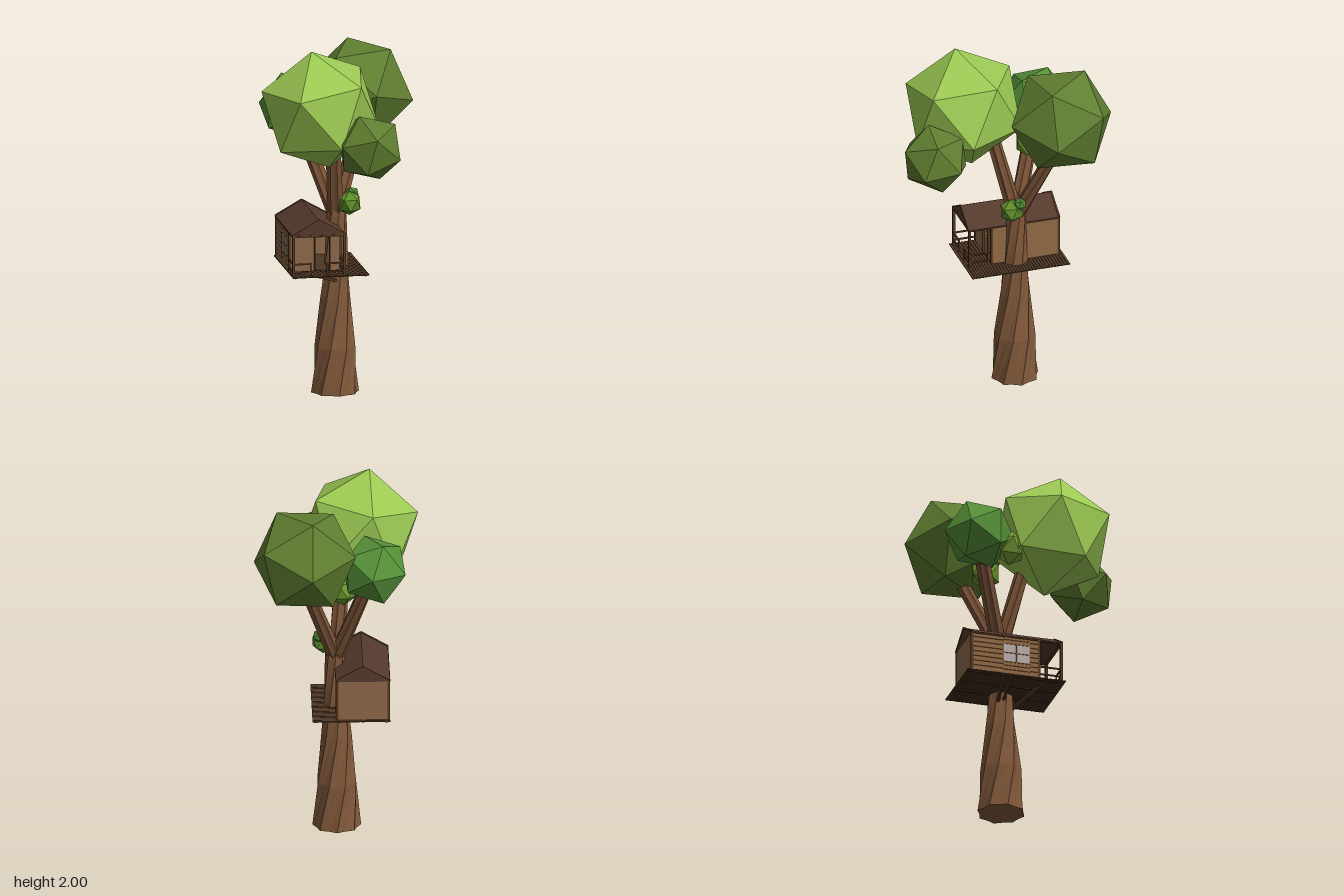
import * as THREE from 'three';

const mat = (color) => new THREE.MeshStandardMaterial({ color, flatShading: true, roughness: 1 });
const BARK = mat(0x80583a), BRANCH = mat(0x7a5237), WALL = mat(0x87633f), PANEL = mat(0x8c6848);
const POST = mat(0x5a3c26), ROOF = mat(0x553a2d), DECK = mat(0x4f3825), PANE = mat(0xb9aeaa);
const V = (x, y, z) => new THREE.Vector3(x, y, z);

function add(parent, name, geometry, material) {
  const mesh = new THREE.Mesh(geometry, material);
  mesh.name = name;
  parent.add(mesh);
  return mesh;
}

function box(parent, name, material, w, h, d, x, y, z) {
  const mesh = add(parent, name, new THREE.BoxGeometry(w, h, d), material);
  mesh.position.set(x, y, z);
  return mesh;
}

// Square beam between two points
function beam(parent, name, material, a, b, w) {
  const mesh = add(parent, name, new THREE.BoxGeometry(w, a.distanceTo(b), w), material);
  mesh.position.copy(a).lerp(b, 0.5);
  mesh.quaternion.setFromUnitVectors(V(0, 1, 0), b.clone().sub(a).normalize());
  return mesh;
}

// Twisted, ridged limb through rings of [x, y, z, radius]
function limb(parent, name, material, rings, sides, twist, ridge) {
  const last = rings.length - 1;
  const geo = new THREE.CylinderGeometry(1, 1, 1, sides, last);
  const p = geo.attributes.position;
  for (let i = 0; i < p.count; i++) {
    const row = Math.round((p.getY(i) + 0.5) * last);
    const [cx, cy, cz, r] = rings[row];
    const angle = Math.atan2(p.getX(i), p.getZ(i));
    const odd = Math.abs(Math.round(angle / (2 * Math.PI / sides))) % 2;
    const rad = Math.hypot(p.getX(i), p.getZ(i)) * r * (odd ? 1 - ridge : 1);
    const turned = angle + row * twist;
    p.setXYZ(i, cx + Math.sin(turned) * rad, cy, cz + Math.cos(turned) * rad);
  }
  return add(parent, name, geo, material);
}

// Icosahedral leaf clump, turned so two adjacent corners point along a and b
function clump(parent, name, color, center, radius, a, b) {
  const mesh = add(parent, name, new THREE.IcosahedronGeometry(radius, 0), mat(color));
  const u = V(...a).normalize(), v = V(...b).normalize();
  const x = v.clone().sub(u).normalize();
  const y = u.clone().add(v).normalize();
  mesh.quaternion.setFromRotationMatrix(
    new THREE.Matrix4().makeBasis(x, y, x.clone().cross(y).normalize()));
  mesh.position.set(...center);
  return mesh;
}

function buildTree(root) {
  const tree = new THREE.Group();
  tree.name = 'tree';
  root.add(tree);

  limb(tree, 'trunk', BARK, [
    [-0.07, 0, -0.012, 0.135], [-0.07, 0.26, -0.012, 0.115], [-0.07, 0.53, -0.014, 0.085],
    [-0.066, 0.8, -0.02, 0.064], [-0.066, 1.0, -0.022, 0.056], [-0.066, 1.12, -0.025, 0.05],
  ], 16, 0.4, 0.12);

  const tips = [
    [-0.31, 1.5, -0.01], // side
    [-0.01, 1.5, 0.1],   // front
    [-0.08, 1.5, -0.28], // back
  ];
  for (const [x, y, z] of tips) {
    const rings = [0, 0.5, 1].map((t) => [
      -0.07 + (x + 0.07) * t, 1.0 + (y - 1.0) * t, -0.02 + (z + 0.02) * t, 0.047 - 0.006 * t]);
    limb(tree, 'branch', BRANCH, rings, 14, 0.1, 0.18);
  }

  clump(tree, 'largeFrontFoliage', 0x9cc953, [0.018, 1.663, 0.262], 0.343, [-0.018, 0.337, 0.06], [0.082, 0.102, 0.313]);
  clump(tree, 'largeBackFoliage', 0x607f31, [-0.0925, 1.66, -0.29], 0.304, [-0.137, 0.26, -0.08], [-0.012, 0.21, 0.215]);
  clump(tree, 'rightFoliage', 0x569138, [-0.345, 1.587, 0], 0.198, [-0.095, 0.173, -0.03], [-0.19, 0.003, 0.052]);
  clump(tree, 'leftFoliage', 0x5f7d30, [0.35, 1.49, 0.265], 0.196, [0.185, -0.06, -0.03], [0.12, 0.145, -0.08]);
  clump(tree, 'innerFoliage', 0x6a962c, [-0.16, 1.435, -0.06], 0.09, [0.2, 1, 0.1], [0.9, 0.3, 0.4]);
  clump(tree, 'innerFoliage', 0x7fa63a, [-0.22, 1.53, 0.13], 0.1, [-0.1, 1, 0.2], [-0.8, 0.3, 0.6]);
  clump(tree, 'trunkSprout', 0x5f902b, [0.01, 1.075, -0.035], 0.07, [0.1, 1, 0.1], [0.9, 0.4, 0.2]);
  clump(tree, 'trunkSprout', 0x4c8a30, [0, 1.12, -0.08], 0.038, [-0.2, 1, 0.3], [0.7, 0.4, 0.5]);
}

// Clapboard wall along x at a given depth; side = +1 or -1 faces outward
function clapboards(parent, name, x0, x1, y0, y1, z, side, count) {
  const h = (y1 - y0) / count;
  for (let i = 0; i < count; i++) {
    const board = box(parent, name, WALL, x1 - x0, h * 1.02, 0.006, (x0 + x1) / 2, y0 + (i + 0.5) * h, z);
    board.rotation.x = -side * 0.16;
  }
}

function buildHouse(root) {
  const house = new THREE.Group();
  house.name = 'treeHouse';
  house.position.set(-0.165, 0, 0.09);
  house.rotation.y = -Math.PI / 4;
  root.add(house);

  const F = 0.722, T = 0.95, X = 0.258, P = 0.13, Z = 0.143, MID = (F + T) / 2, H = T - F;

  // Deck of narrow planks on joists
  const planks = 34, pitch = 0.57 / planks;
  for (let i = 0; i < planks; i++) {
    box(house, 'deckPlank', DECK, pitch * 0.86, 0.005, 0.43, -0.285 + (i + 0.5) * pitch, 0.719, -0.064);
  }
  for (const z of [-0.26, -0.13, 0, 0.13]) box(house, 'joist', DECK, 0.56, 0.004, 0.014, 0, 0.7145, z);
  box(house, 'houseFloor', DECK, X + P, 0.003, 2 * Z, (P - X) / 2, 0.7225, 0);

  // Long walls, one with a window opening
  const wx = 0.076, wy0 = 0.795, wy1 = 0.905;
  clapboards(house, 'sideWallBoard', -X, P, F, T, -Z, -1, 8);
  clapboards(house, 'sideWallBoard', -X, -wx, F, T, Z, 1, 8);
  clapboards(house, 'sideWallBoard', wx, P, F, T, Z, 1, 8);
  clapboards(house, 'sideWallBoard', -wx, wx, F, wy0, Z, 1, 3);
  clapboards(house, 'sideWallBoard', -wx, wx, wy1, T, Z, 1, 2);
  box(house, 'windowPane', PANE, 2 * wx, wy1 - wy0, 0.003, 0, (wy0 + wy1) / 2, Z);
  for (const x of [-wx, 0, wx]) box(house, 'windowBar', PANEL, 0.006, wy1 - wy0, 0.01, x, (wy0 + wy1) / 2, Z);
  for (const y of [wy0, (wy0 + wy1) / 2, wy1]) box(house, 'windowBar', PANEL, 2 * wx, 0.005, 0.01, 0, y, Z);

  // End wall and porch wall with an open doorway
  const dz0 = -0.085, dz1 = 0.0, dTop = 0.915;
  box(house, 'endWall', PANEL, 0.006, H, 2 * Z, -X, MID, 0);
  box(house, 'porchWall', PANEL, 0.006, H, Z - dz1, P, MID, (Z + dz1) / 2);
  box(house, 'porchWall', PANEL, 0.006, H, Z + dz0, P, MID, (dz0 - Z) / 2);
  box(house, 'doorHeader', PANEL, 0.006, T - dTop, dz1 - dz0, P, (T + dTop) / 2, (dz0 + dz1) / 2);
  for (const z of [dz0, dz1]) box(house, 'doorFrame', POST, 0.014, dTop - F, 0.008, P, (F + dTop) / 2, z);
  box(house, 'doorFrame', POST, 0.014, 0.008, dz1 - dz0, P, dTop, (dz0 + dz1) / 2);

  // Corner posts, top plates and porch railing
  for (const z of [-Z, Z]) {
    for (const x of [-X, P, X]) box(house, 'post', POST, 0.014, H, 0.014, x, MID, z);
    box(house, 'topPlate', POST, 2 * X, 0.01, 0.014, 0, T - 0.003, z);
    for (const y of [0.745, 0.79]) box(house, 'sideRail', POST, X - P, 0.008, 0.008, (X + P) / 2, y, z);
  }
  box(house, 'topPlate', POST, 0.014, 0.01, 2 * Z, X, T - 0.003, 0);
  for (const z of [-0.095, 0.095]) {
    for (const y of [0.745, 0.79]) box(house, 'frontRail', POST, 0.008, 0.008, 2 * (Z - 0.095), X, y, z);
    box(house, 'railPost', POST, 0.008, 0.075, 0.008, X, 0.757, z * 0.5);
  }

  // Gabled roof
  const gable = new THREE.Shape([
    new THREE.Vector2(-0.152, 0.948), new THREE.Vector2(0.152, 0.948), new THREE.Vector2(0, 1.036)]);
  const roofGeo = new THREE.ExtrudeGeometry(gable, { depth: 0.524, bevelEnabled: false });
  roofGeo.translate(0, 0, -0.262).rotateY(Math.PI / 2);
  add(house, 'roof', roofGeo, ROOF);
  for (const x of [-0.262, 0.262]) {
    for (const s of [-1, 1]) beam(house, 'bargeBoard', POST, V(x, 0.951, s * 0.15), V(x, 1.036, 0), 0.009);
  }
}

export function createModel() {
  const root = new THREE.Group();
  root.name = 'treeWithHouse';
  buildTree(root);
  buildHouse(root);

  // Struts from the trunk to the underside of the deck
  beam(root, 'strut', POST, V(-0.3, 0.713, 0.13), V(-0.1, 0.65, -0.02), 0.014);
  beam(root, 'strut', POST, V(-0.27, 0.713, 0.16), V(-0.08, 0.66, 0.0), 0.012);
  beam(root, 'strut', POST, V(-0.085, 0.713, 0.235), V(-0.03, 0.645, 0.04), 0.016);
  return root;
}
